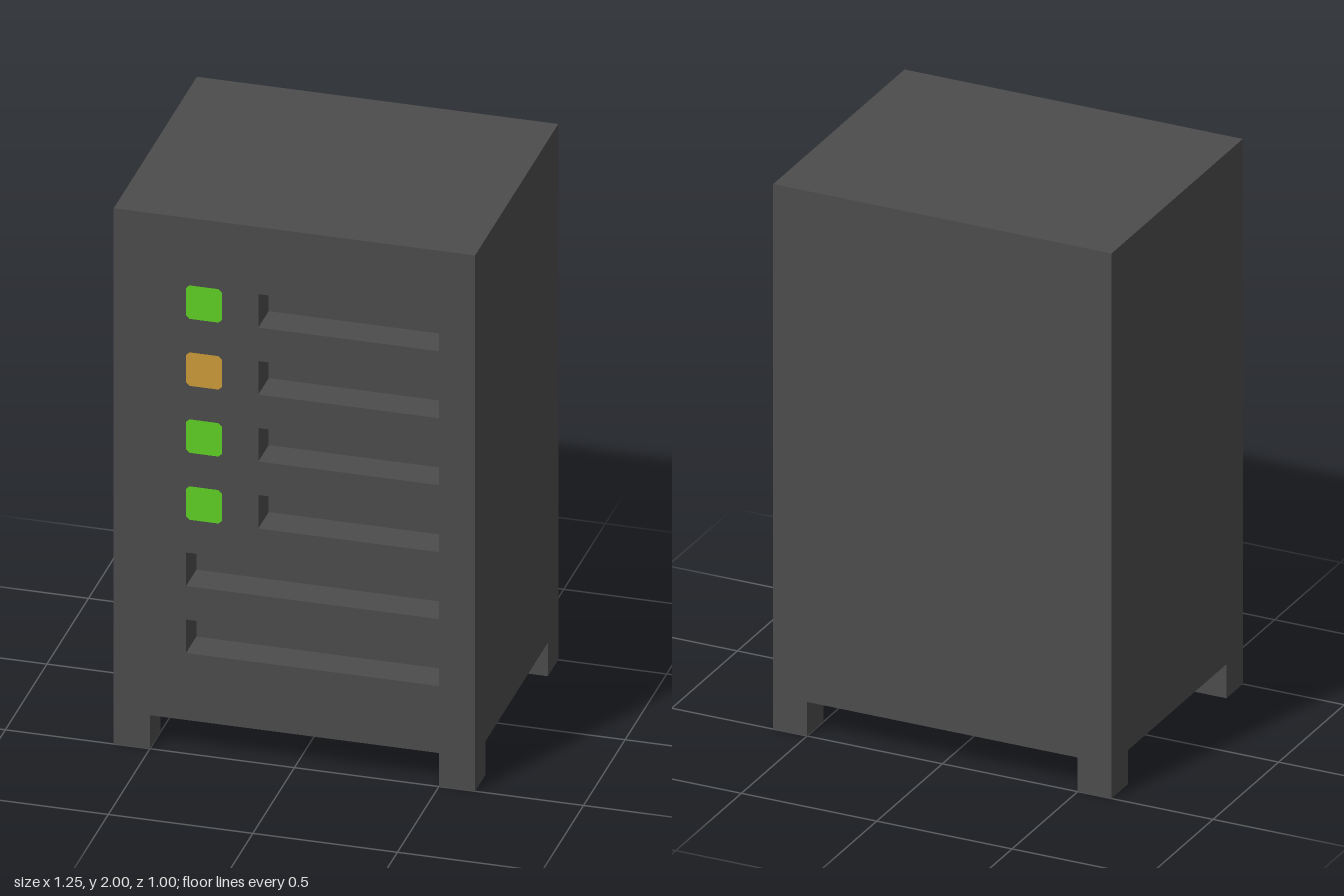
import * as THREE from 'three';

const W = 1.25, D = 1, TOP = 2, FOOT = 0.125, SLOT_H = 0.125, SLOT_DEPTH = 0.125;

// Box without its +z face
function openBox(w, h, d) {
  const geo = new THREE.BoxGeometry(w, h, d);
  const index = Array.from(geo.index.array);
  index.splice(24, 6);
  geo.setIndex(index);
  geo.clearGroups();
  return geo;
}

// Recess: an open box turned inside out
function recess(w, h, d) {
  const geo = openBox(w, h, d);
  geo.setIndex(Array.from(geo.index.array).reverse());
  geo.computeVertexNormals();
  return geo;
}

function rectangle(Type, x0, y0, x1, y1) {
  return new Type([[x0, y0], [x1, y0], [x1, y1], [x0, y1]].map(p => new THREE.Vector2(...p)));
}

// Square with small cut corners
function lightShape(size, cut) {
  const a = size / 2, b = a - cut;
  return new THREE.Shape([
    [-b, -a], [b, -a], [a, -b], [a, b], [b, a], [-b, a], [-a, b], [-a, -b],
  ].map(p => new THREE.Vector2(...p)));
}

export function createModel() {
  const material = (name, color) => {
    const m = new THREE.MeshStandardMaterial({ color });
    m.name = name;
    return m;
  };
  const casing = material('dark grey casing', 0x4c4c4c);
  const green = material('green light', 0x5ecf23);
  const amber = material('amber light', 0xcc9a38);

  const model = new THREE.Group();
  model.name = 'serverCabinet';
  const add = (name, geo, mat, x, y, z) => {
    const mesh = new THREE.Mesh(geo, mat);
    mesh.name = name;
    mesh.position.set(x, y, z);
    model.add(mesh);
  };

  // Cabinet: sides, back, top and bottom
  add('cabinet', openBox(W, TOP - FOOT, D), casing, 0, (TOP + FOOT) / 2, 0);

  // Front panel with slots: four short beside the lights, two full width
  const panel = rectangle(THREE.Shape, -W / 2, FOOT, W / 2, TOP);
  for (let i = 0; i < 6; i++) {
    const y = 1.625 - i * 0.25;
    const x0 = i < 4 ? -0.125 : -0.375, x1 = 0.5;
    panel.holes.push(rectangle(THREE.Path, x0, y, x1, y + SLOT_H));
    add('slot', recess(x1 - x0, SLOT_H, SLOT_DEPTH), casing,
      (x0 + x1) / 2, y + SLOT_H / 2, D / 2 - SLOT_DEPTH / 2);
  }
  add('frontPanel', new THREE.ShapeGeometry(panel), casing, 0, 0, D / 2);

  // Status lights
  const light = new THREE.ShapeGeometry(lightShape(0.125, 0.012));
  [green, amber, green, green].forEach((mat, i) =>
    add('statusLight', light, mat, -0.3125, 1.6875 - i * 0.25, D / 2 + 0.002));

  // Feet at the four corners
  const foot = new THREE.BoxGeometry(FOOT, FOOT, FOOT);
  for (const sx of [-1, 1]) for (const sz of [-1, 1])
    add('foot', foot, casing, sx * (W - FOOT) / 2, FOOT / 2, sz * (D - FOOT) / 2);

  return model;
}
